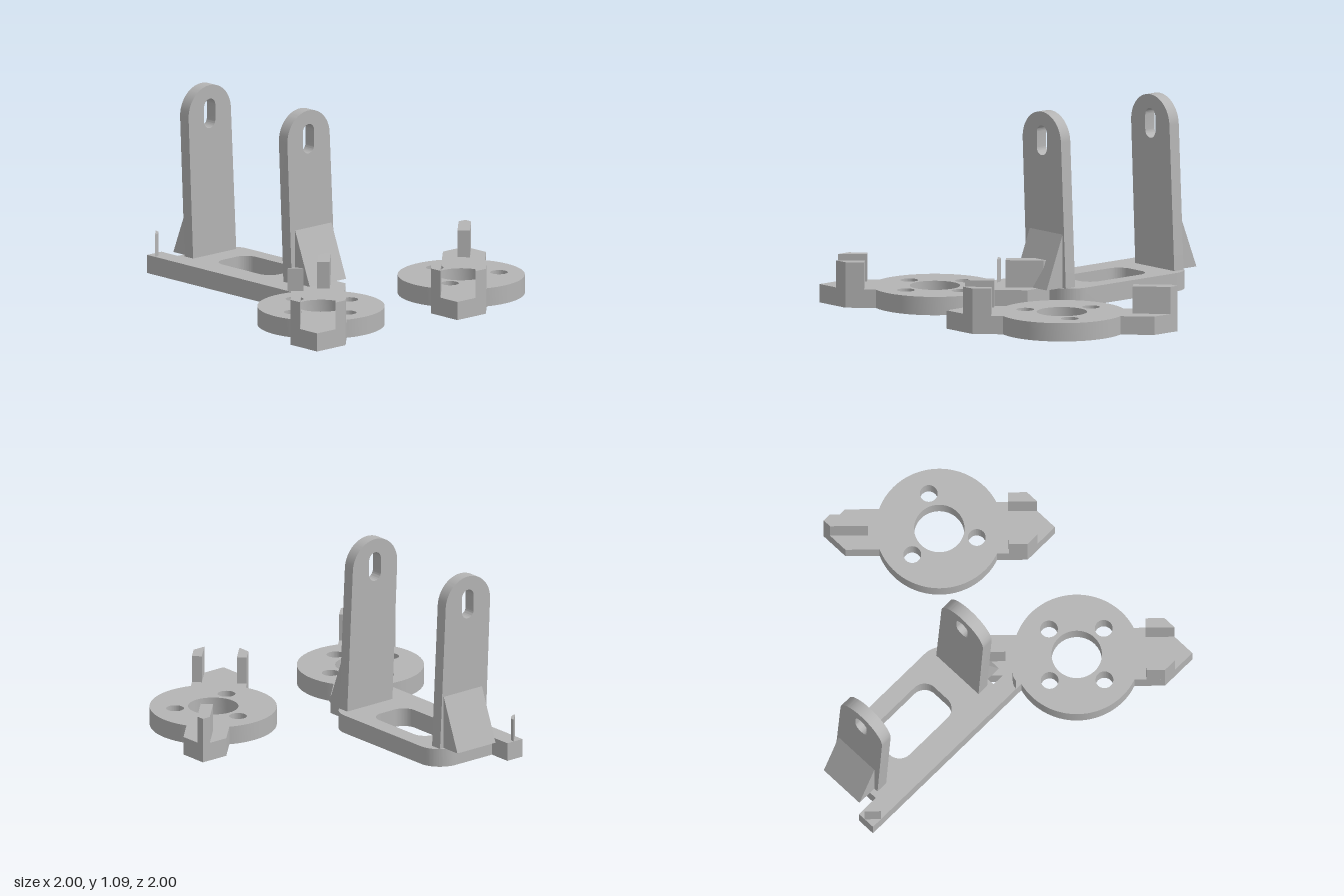
import * as THREE from 'three';
import { toCreasedNormals } from 'three/addons/utils/BufferGeometryUtils.js';

const PLATE = 0.105;   // thickness of every flat plate
const CLIP_TOP = 0.26;
const R = 0.358;       // motor disc radius

export function createModel() {
  const model = new THREE.Group();
  model.name = 'bracketKit';
  const grey = new THREE.MeshStandardMaterial({ color: 0xb4b4b4 });
  grey.name = 'grey plastic';

  const poly = (pts) => new THREE.Shape(pts.map(([x, y]) => new THREE.Vector2(x, y)));
  const circle = (x, y, r) => new THREE.Path().absarc(x, y, r, 0, Math.PI * 2, true);
  const extrude = (shape, depth) => new THREE.ExtrudeGeometry(shape, { depth, bevelEnabled: false, curveSegments: 24 });

  function add(parent, name, geo) {
    const mesh = new THREE.Mesh(toCreasedNormals(geo, 0.5), grey);
    mesh.name = name;
    parent.add(mesh);
    return mesh;
  }
  // Lay a shape flat (shape y = -z) between two heights
  const slab = (parent, name, shape, y0, y1) =>
    add(parent, name, extrude(shape, y1 - y0).rotateX(-Math.PI / 2).translate(0, y0, 0));

  // Disc with two diagonal arms, a bore, screw holes and raised clips
  function motorMount(name, x, holeAngles) {
    const g = new THREE.Group();
    g.name = name;
    g.position.set(x, 0, 0.54);
    const a = Math.PI / 4, narrow = 0.345, wide = 0.448, e = 0.46;
    const s = new THREE.Shape();
    s.absarc(0, 0, R, a + narrow, 5 * a - wide, false);
    s.lineTo(-e, -0.241);
    s.lineTo(-e, -e);
    s.lineTo(-0.241, -e);
    s.absarc(0, 0, R, 5 * a + wide, 9 * a - narrow, false);
    s.lineTo(e, 0.289);
    s.lineTo(e, e);
    s.lineTo(0.289, e);
    s.closePath();
    s.holes.push(circle(0, 0, 0.142));
    for (const deg of holeAngles) {
      const t = THREE.MathUtils.degToRad(deg);
      s.holes.push(circle(0.218 * Math.cos(t), 0.218 * Math.sin(t), 0.05));
    }
    slab(g, 'mountDisc', s, 0, PLATE);

    // Pair of clips on the wide arm, mirrored across its diagonal
    const clip = [[-e, -0.241], [-0.385, -0.166], [-0.345, -0.205], [-e, -0.32]];
    slab(g, 'leftClip', poly(clip), PLATE, CLIP_TOP);
    slab(g, 'rightClip', poly(clip.map(([u, v]) => [v, u])), PLATE, CLIP_TOP);
    // Central rib on the narrow arm
    slab(g, 'armRib', poly([[0.258, 0.308], [0.41, e], [e, e], [e, 0.41], [0.308, 0.258]]), PLATE, CLIP_TOP);
    model.add(g);
  }
  motorMount('fourHoleMount', -0.54, [0, 90, 180, 270]);
  motorMount('threeHoleMount', 0.54, [90, 210, 330]);

  // Base plate with a long side strip and a rounded window
  const stand = new THREE.Group();
  stand.name = 'stand';
  model.add(stand);
  const x0 = -0.44, x1 = 0.075, xs = -0.33, front = -0.085, back = 0.865, r = 0.14;
  const base = new THREE.Shape();
  base.moveTo(x0, -0.22);
  base.lineTo(xs, -0.22);
  base.lineTo(xs, front);
  base.absarc(x1 - r, front + r, r, -Math.PI / 2, 0, false);
  base.absarc(x1 - r, back - r, r, 0, Math.PI / 2, false);
  base.lineTo(xs, back);
  base.lineTo(xs, 1);
  base.lineTo(x0, 1);
  base.closePath();
  const win = new THREE.Path(), wr = 0.08;
  [[-0.105, 0.24], [-0.105, 0.545], [-0.205, 0.545], [-0.205, 0.24]].forEach(([x, y], i) =>
    win.absarc(x, y, wr, (i - 1) * Math.PI / 2, i * Math.PI / 2, false));
  base.holes.push(win);
  slab(stand, 'basePlate', base, 0, PLATE);

  // Quarter-round posts on the strip's two outer corners
  for (const [name, y, a0, a1] of [['backPost', 1, -Math.PI / 2, 0], ['frontPost', -0.22, 0, Math.PI / 2]]) {
    const q = new THREE.Shape();
    q.moveTo(x0, y);
    q.absarc(x0, y, 0.065, a0, a1, false);
    q.closePath();
    slab(stand, name, q, PLATE, 0.235);
  }

  // Leaning upright with a round top and a slot
  const up = new THREE.Shape();
  up.moveTo(-0.31, PLATE);
  up.lineTo(0.022, PLATE);
  up.absarc(-0.182, 0.926, 0.163, 0.045, Math.PI + 0.045, false);
  up.closePath();
  const slot = new THREE.Path();
  slot.absarc(-0.182, 0.967, 0.043, 0, Math.PI, false);
  slot.absarc(-0.182, 0.883, 0.043, Math.PI, Math.PI * 2, false);
  up.holes.push(slot);
  // Wedge brace profile in (z, y), extruded along x
  const brace = poly([[0, PLATE], [0.12, PLATE], [0, 0.41]]);
  for (const [side, z, dir] of [['front', -0.016, 1], ['back', -0.83, -1]]) {
    add(stand, side + 'Upright', extrude(up, 0.07).translate(0, 0, z));
    const wedge = extrude(brace, 0.28).translate(0, 0, -0.14).rotateY(-dir * Math.PI / 2);
    wedge.translate(-0.145, 0, dir > 0 ? z + 0.07 : z);
    add(stand, side + 'Brace', wedge);
  }
  return model;
}
